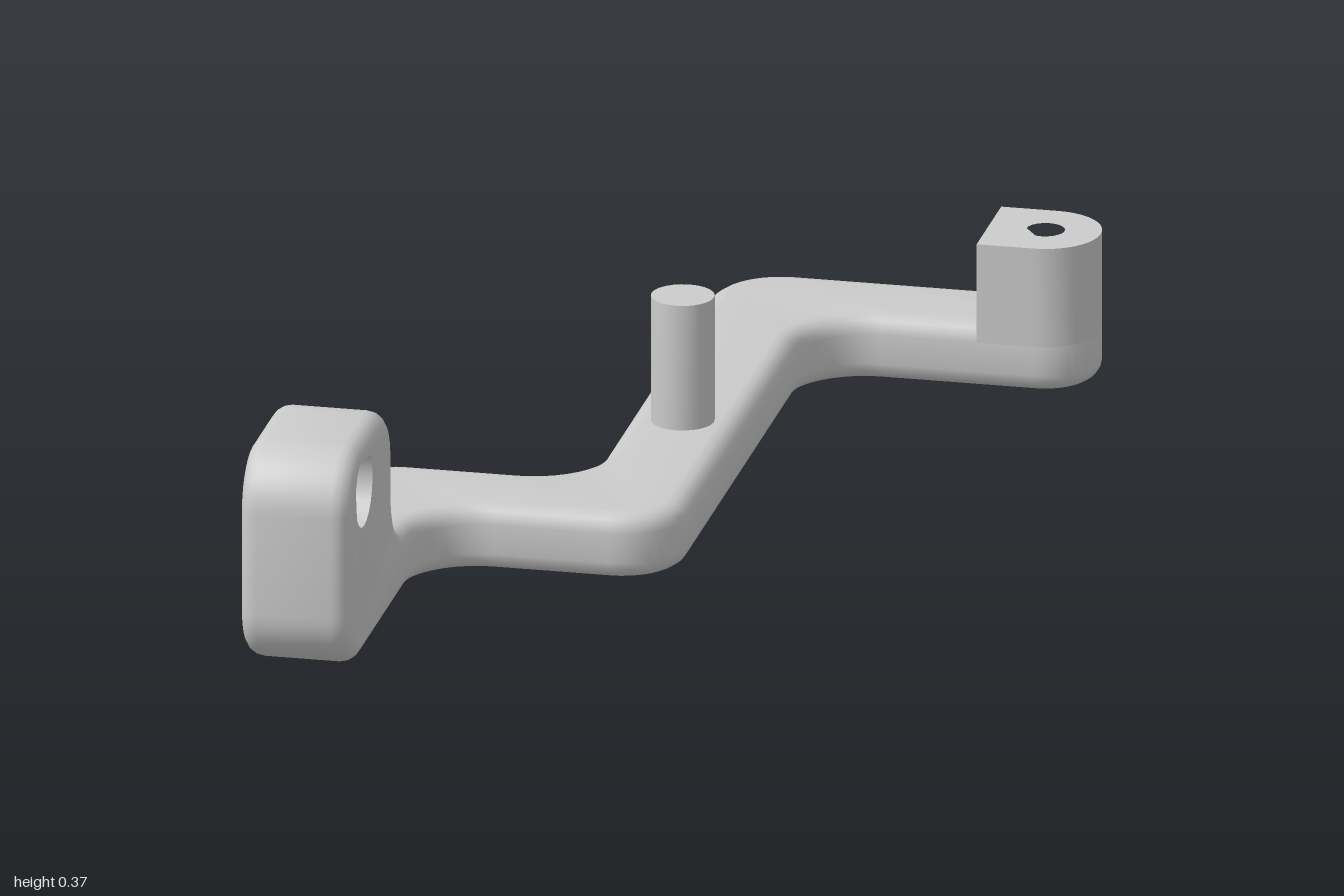
import * as THREE from 'three';
import { toCreasedNormals } from 'three/addons/utils/BufferGeometryUtils.js';

const material = new THREE.MeshStandardMaterial({ color: 0xcccccc });
const BEVEL = 0.03, WIDTH = 0.184, ARM_H = 0.11;

// Closed outline from right-angled corners [x, y, radius]
function roundedShape(corners) {
  const shape = new THREE.Shape();
  const n = corners.length, k = 0.4477;
  corners.forEach(([x, y, r], i) => {
    const p = new THREE.Vector2(x, y);
    const toward = (c) => new THREE.Vector2(c[0], c[1]).sub(p).normalize();
    const a = toward(corners[(i + n - 1) % n]), b = toward(corners[(i + 1) % n]);
    const at = (d, t) => p.clone().addScaledVector(d, t);
    const start = at(a, r);
    if (i === 0) shape.moveTo(start.x, start.y);
    else shape.lineTo(start.x, start.y);
    if (r > 0) {
      const c1 = at(a, r * k), c2 = at(b, r * k), end = at(b, r);
      shape.bezierCurveTo(c1.x, c1.y, c2.x, c2.y, end.x, end.y);
    }
  });
  return shape;
}

// Extrusion with rounded outer edges and a straight, unbevelled bore
function boredExtrude(corners, height, bevel, [hx, hy, hr]) {
  const shape = roundedShape(corners);
  const seed = hr * 0.3;
  shape.holes.push(new THREE.Path().absarc(hx, hy, seed, 0, Math.PI * 2, true));
  const geo = new THREE.ExtrudeGeometry(shape, {
    depth: height - 2 * bevel, curveSegments: 10,
    bevelEnabled: bevel > 0, bevelThickness: bevel, bevelSize: bevel,
    bevelOffset: -bevel, bevelSegments: 4,
  });
  // snap the bore's vertices to its true radius
  const pos = geo.attributes.position;
  for (let i = 0; i < pos.count; i++) {
    const dx = pos.getX(i) - hx, dy = pos.getY(i) - hy, d = Math.hypot(dx, dy);
    if (d < seed + bevel + 0.005) pos.setXY(i, hx + (dx / d) * hr, hy + (dy / d) * hr);
  }
  return geo.translate(0, 0, bevel);
}

function addPart(group, name, geo) {
  const mesh = new THREE.Mesh(toCreasedNormals(geo, 0.6), material);
  mesh.name = name;
  group.add(mesh);
}

export function createModel() {
  const crank = new THREE.Group();
  crank.name = 'crank';
  crank.rotation.y = 0.604;

  // Zigzag arm, drawn in plan
  const bore = [0.584, -0.7, 0.032];
  const arm = boredExtrude([
    [0.676, -0.792, 0.0915], [0.03, -0.792, 0.12], [0.03, 0.228, 0.115],
    [-0.388, 0.228, 0.12], [-0.388, 0.75, 0], [-0.204, 0.75, 0],
    [-0.204, 0.412, 0.115], [0.214, 0.412, 0.11], [0.214, -0.608, 0.115],
    [0.676, -0.608, 0.0915],
  ], ARM_H, BEVEL, bore);
  addPart(crank, 'zigzagArm', arm.rotateX(Math.PI / 2).translate(0, ARM_H, 0));

  // Raised round-ended boss with a vertical bore
  const boss = boredExtrude([
    [0.676, -0.792, 0.0915], [0.49, -0.792, 0], [0.49, -0.608, 0], [0.676, -0.608, 0.0915],
  ], 0.17, 0, bore);
  addPart(crank, 'endBoss', boss.rotateX(Math.PI / 2).translate(0, 0.25, 0));

  // Upright block with a cross bore, drawn in side profile
  const block = boredExtrude([
    [0.5, 0, 0], [0.965, 0, 0.1], [0.965, 0.372, 0.1],
    [0.625, 0.372, 0.1], [0.625, ARM_H, 0.1], [0.5, ARM_H, 0],
  ], WIDTH, BEVEL, [0.85, 0.288, 0.063]);
  addPart(crank, 'endBlock', block.rotateY(-Math.PI / 2).translate(-0.204, 0, 0));

  // Upright pin on the long arm
  const pin = new THREE.CylinderGeometry(0.052, 0.052, 0.225, 24);
  addPart(crank, 'pin', pin.translate(0.122, 0.2125, -0.066));

  const model = new THREE.Group();
  model.name = 'offsetLever';
  model.add(crank);
  return model;
}
